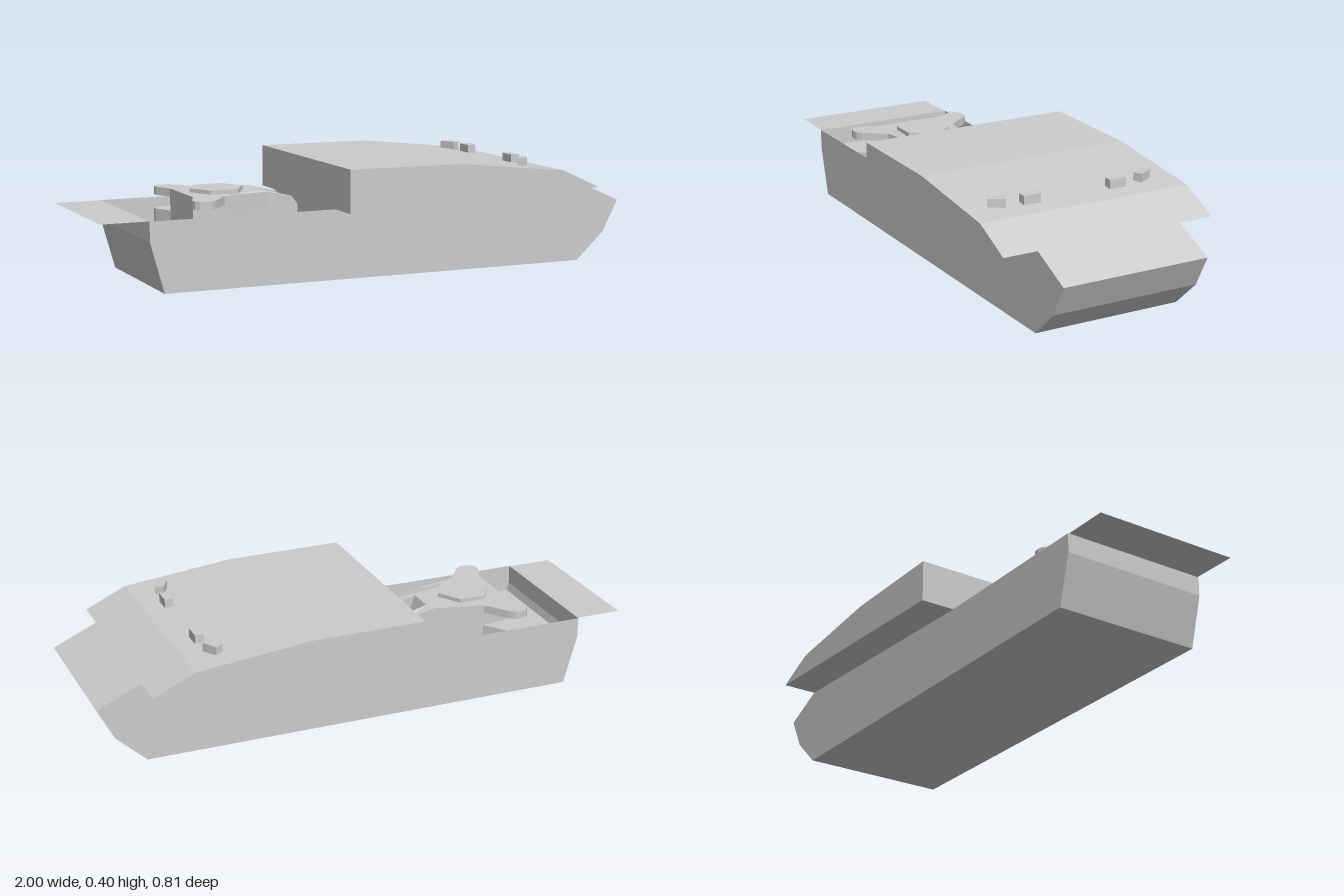
import * as THREE from 'three';

const HULL_Z = 0.277, CABIN_Z = 0.405, FLOOR = 0.15;

export function createModel() {
  const model = new THREE.Group();
  const grey = new THREE.MeshStandardMaterial({ color: 0xcccccc, flatShading: true });
  const greyThin = grey.clone();
  greyThin.side = THREE.DoubleSide;

  const add = (name, geometry, material = grey) => {
    const mesh = new THREE.Mesh(geometry, material);
    mesh.name = name;
    model.add(mesh);
    return mesh;
  };
  const shapeOf = pts => new THREE.Shape(pts.map(p => new THREE.Vector2(...p)));

  // side profile (x, y) extruded across the width
  const across = (pts, half) =>
    new THREE.ExtrudeGeometry(shapeOf(pts), { depth: 2 * half, bevelEnabled: false }).translate(0, 0, -half);

  // plan outline (x, z) extruded between two heights
  const slab = (pts, y0, y1) =>
    new THREE.ExtrudeGeometry(shapeOf(pts.map(([x, z]) => [x, -z])), { depth: y1 - y0, bevelEnabled: false })
      .rotateX(-Math.PI / 2).translate(0, y0, 0);

  // hull with the recessed rear deck
  add('hull', across([
    [-0.822, FLOOR], [-0.78, 0], [0.83, 0], [0.94, 0.102], [1, 0.217],
    [0.84, 0.289], [-0.15, 0.25], [-0.15, FLOOR],
  ], HULL_Z));

  // wide wedge-shaped upper body
  add('upperBody', across([
    [-0.15, 0.25], [0.84, 0.289], [0.69, 0.358], [0.28, 0.402], [-0.15, 0.404],
  ], CABIN_Z));

  // thin walls around the rear deck: rows of [stern x, y]
  const rows = [[-0.822, FLOOR], [-0.83, 0.18], [-0.83, 0.25]];
  const wall = [], index = [];
  for (const [x, y] of rows)
    for (const [px, pz] of [[-0.15, HULL_Z], [x, HULL_Z], [x, -HULL_Z], [-0.15, -HULL_Z]]) wall.push(px, y, pz);
  for (let r = 0; r < 2; r++)
    for (let i = 0; i < 3; i++) {
      const a = r * 4 + i;
      index.push(a, a + 4, a + 1, a + 1, a + 4, a + 5);
    }
  let walls = new THREE.BufferGeometry();
  walls.setAttribute('position', new THREE.Float32BufferAttribute(wall, 3));
  walls.setIndex(index);
  walls = walls.toNonIndexed();
  walls.computeVertexNormals();
  add('rearDeckWalls', walls, greyThin);

  // flat plate behind the stern
  add('sternPlate', new THREE.PlaneGeometry(0.17, 0.546).rotateX(-Math.PI / 2).translate(-0.915, 0.25, 0), greyThin);

  // turret body with a forked nose that slopes down to the front
  const half = [[-0.62, 0.12], [-0.51, 0.14], [-0.33, 0.097], [-0.235, 0.088], [-0.215, 0.088], [-0.215, 0.052], [-0.235, 0.052], [-0.32, 0.05]];
  const outline = [...half, ...half.map(([x, z]) => [x, -z]).reverse()];
  const turret = slab(outline, FLOOR, 0.3);
  const pos = turret.attributes.position;
  for (let i = 0; i < pos.count; i++) {
    const x = pos.getX(i);
    if (pos.getY(i) > 0.25 && x > -0.325) pos.setY(i, x > -0.22 ? 0.25 : 0.3 - (x + 0.33) * 0.25);
  }
  turret.computeVertexNormals();
  add('turretBody', turret);

  // sloping face at the back of the fork
  add('forkFace', across([[-0.325, FLOOR], [-0.302, FLOOR], [-0.302, 0.25], [-0.318, 0.297], [-0.325, 0.297]], 0.05));

  // rounded rear lobes, in an upper and a lower layer on each side
  const lobe = [[-0.62, 0.12], [-0.65, 0.195], [-0.648, 0.218], [-0.635, 0.234], [-0.612, 0.24],
    [-0.59, 0.237], [-0.572, 0.222], [-0.51, 0.14], [-0.53, 0.1], [-0.61, 0.1]];
  for (const s of [1, -1]) {
    const pts = lobe.map(([x, z]) => [x, s * z]);
    add('upperLobe', slab(pts, 0.27, 0.2995));
    add('lowerLobe', slab(pts, 0.17, 0.22));
  }

  // six-sided hatch on the turret
  add('turretHatch', new THREE.CylinderGeometry(0.1, 0.1, 0.02, 6).rotateY(Math.PI / 6 + Math.PI / 3 ).translate(-0.49, 0.304, 0));

  // small vision blocks on the sloping roof
  for (const s of [1, -1]) {
    const inner = add('innerVisionBlock', new THREE.BoxGeometry(0.033, 0.04, 0.065));
    inner.position.set(0.605, 0.378, s * 0.169);
    const outer = add('outerVisionBlock', new THREE.BoxGeometry(0.033, 0.04, 0.062));
    outer.position.set(0.588, 0.378, s * 0.287);
    outer.rotation.y = -s * 0.5;
  }
  return model;
}
